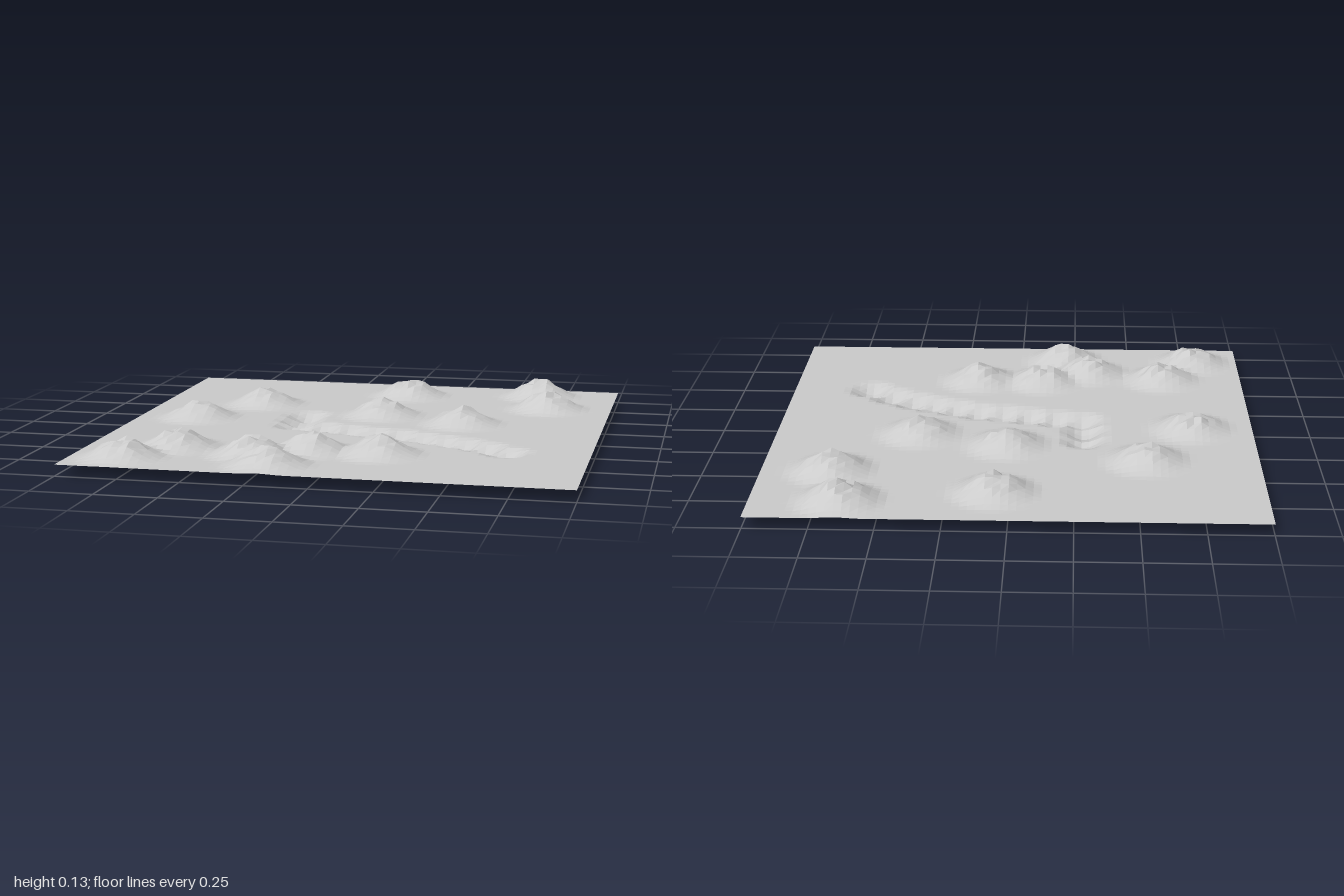
import * as THREE from 'three';

const GROUND = 0.05;
const SEGMENTS = 64;

// Hill centres [x, z, peak height above ground]
const HILLS = [
  [0.06, -0.73, 0.083], [0.65, -0.83, 0.087], [0.72, -0.53, 0.085],
  [-0.54, -0.39, 0.076], [0.03, -0.24, 0.076], [0.40, -0.12, 0.076],
  [-0.74, -0.03, 0.076], [-0.64, 0.58, 0.076], [-0.79, 0.81, 0.078],
  [-0.31, 0.66, 0.078], [-0.10, 0.54, 0.076], [0.18, 0.55, 0.078],
  [-0.20, 0.83, 0.078],
];
const HILL_RADIUS = 0.2;

// Centreline of the dry river bed [x, z]
const RIVER = [
  [-0.29, -0.17], [-0.29, -0.06], [-0.28, 0.05], [-0.17, 0.07], [-0.05, 0.10],
  [0.06, 0.13], [0.17, 0.15], [0.27, 0.19], [0.37, 0.23], [0.46, 0.27],
  [0.56, 0.33], [0.66, 0.41],
];
const RIVER_RADIUS = 0.115;

// Seeded hash in -1..1 for each grid point
function hash(i, j) {
  let n = Math.imul(i + 101, 374761393) ^ Math.imul(j + 57, 668265263);
  n = Math.imul(n ^ (n >>> 13), 1274126177);
  return ((n ^ (n >>> 16)) >>> 0) / 2147483647.5 - 1;
}

// Bell falloff: 1 at the centre, 0 at the radius
const bell = (d, r) => (d < r ? 0.5 + 0.5 * Math.cos((Math.PI * d) / r) : 0);

function terrainHeight(x, z) {
  // Craggy hills, rough near the summit and smooth at the foot
  const i = Math.round((x + 1) * SEGMENTS / 2);
  const j = Math.round((z + 1) * SEGMENTS / 2);
  const rough = 1 + 0.2 * hash(i, j);
  let rise = 0;
  for (const [hx, hz, h] of HILLS) {
    const d = Math.hypot(x - hx, z - hz);
    const f = bell(d, HILL_RADIUS);
    rise = Math.max(rise, h * 0.92 * f * (1 + (rough - 1) * f));
  }
  // Chain of overlapping scooped hollows
  let dip = 0;
  for (const [rx, rz] of RIVER) {
    dip = Math.max(dip, bell(Math.hypot(x - rx, z - rz), RIVER_RADIUS));
  }
  return GROUND + rise - 0.046 * dip;
}

export function createModel() {
  const group = new THREE.Group();
  group.name = 'landscape';

  // One thin sheet raised into hills and lowered along the river bed
  const geometry = new THREE.PlaneGeometry(2, 2, SEGMENTS, SEGMENTS);
  geometry.rotateX(-Math.PI / 2);
  const p = geometry.attributes.position;
  for (let k = 0; k < p.count; k++) {
    p.setY(k, terrainHeight(p.getX(k), p.getZ(k)));
  }
  geometry.computeVertexNormals();

  const terrain = new THREE.Mesh(
    geometry,
    new THREE.MeshStandardMaterial({
      color: 0xcccccc, flatShading: true, side: THREE.DoubleSide,
    }),
  );
  terrain.name = 'terrain';
  group.add(terrain);
  return group;
}
